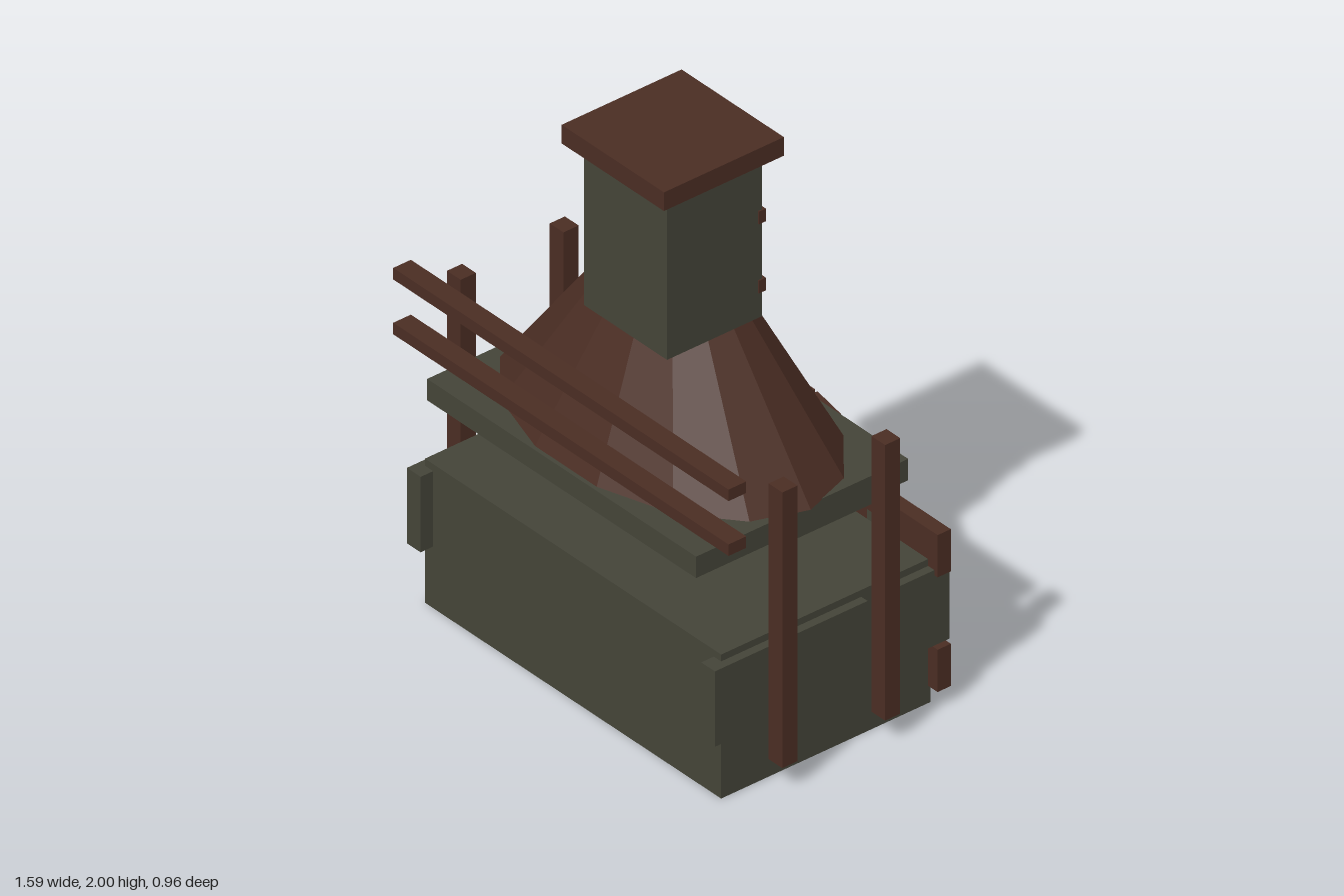
import * as THREE from 'three';

const stone = new THREE.MeshStandardMaterial({ color: 0x444438 });
stone.name = 'stone';
const brick = new THREE.MeshStandardMaterial({ color: 0x4a2d23, side: THREE.DoubleSide });
brick.name = 'brick';
const iron = new THREE.MeshStandardMaterial({ color: 0x23282b });
iron.name = 'iron';

// Box given by its min and max on each axis
function box(parent, name, mat, x0, x1, y0, y1, z0, z1) {
  const mesh = new THREE.Mesh(new THREE.BoxGeometry(x1 - x0, y1 - y0, z1 - z0), mat);
  mesh.position.set((x0 + x1) / 2, (y0 + y1) / 2, (z0 + z1) / 2);
  mesh.name = name;
  parent.add(mesh);
  return mesh;
}

export function createModel() {
  const model = new THREE.Group();
  model.name = 'forge';

  // Hearth body
  box(model, 'hearth', stone, -0.705, 0.7, 0, 0.525, -0.4, 0.43);

  for (const s of [-1, 1]) {
    const span = (a, b) => (s > 0 ? [a, b] : [-b, -a]);
    // Side slabs, the outer ones wrapping the corners
    for (const [z0, z1] of [[-0.45, -0.165], [-0.125, 0.16], [0.2, 0.48]])
      box(model, 'sideSlab', stone, ...span(0.665, 0.73), 0.225, 0.5, z0, z1);
    // Wooden posts
    for (const z of [-0.17, 0.237])
      box(model, 'post', brick, ...span(0.73, 0.795), 0.09, 1.095, z - 0.03, z + 0.03);
    // Arch pillars and the arms running inward above the hearth
    box(model, 'archPillar', stone, ...span(0.41, 0.462), 0.26, 0.56, -0.478, -0.39);
    box(model, 'hearthArm', stone, ...span(0.435, 0.462), 0.615, 0.66, -0.44, 0.02);
  }

  // Front rails
  for (const y of [0.975, 1.175])
    box(model, 'rail', brick, -0.795, 0.795, y - 0.021, y + 0.021, 0.41, 0.48);

  // Staggered brick courses on the back
  const courses = [
    [0.14, [-0.585, -0.285, 0.015, 0.315, 0.615]],
    [0.35, [-0.435, -0.135, 0.165, 0.465]],
    [0.558, [-0.585, -0.285, 0.015, 0.315, 0.615]],
  ];
  for (const [y, xs] of courses)
    for (const x of xs)
      box(model, 'wallBrick', brick, x - 0.13, x + 0.13, y - 0.077, y + 0.077, -0.442, -0.39);

  // Iron plate behind the arch
  box(model, 'firePlate', iron, -0.37, 0.365, 0.4, 0.7, -0.424, -0.397);

  // Arch of nine blocks
  const arch = new THREE.Group();
  arch.name = 'arch';
  model.add(arch);
  for (let i = -4; i <= 4; i++) {
    const a = i * 0.2286;
    const r = 0.515;
    const block = new THREE.Mesh(new THREE.BoxGeometry(0.114, 0.065, 0.06), brick);
    block.position.set(r * Math.sin(a), 0.232 + r * Math.cos(a), -0.449);
    block.rotation.z = -a;
    block.name = 'archBlock';
    arch.add(block);
  }

  // Hood plate and faceted open hood
  box(model, 'hoodPlate', stone, -0.64, 0.635, 0.79, 0.868, -0.365, 0.475);
  const cone = new THREE.CylinderGeometry(0.36, 1, 0.55, 14, 1, true, Math.PI / 2);
  cone.scale(0.658, 1, 0.432);
  const facets = cone.toNonIndexed();
  facets.computeVertexNormals();
  const hood = new THREE.Mesh(facets, brick);
  hood.position.set(0, 1.141, 0.04);
  hood.name = 'hood';
  model.add(hood);

  // Chimney, neck and cap
  box(model, 'chimney', stone, -0.095, 0.3, 1.345, 1.912, -0.065, 0.31);
  box(model, 'chimneyNeck', iron, -0.04, 0.25, 1.9, 1.94, -0.01, 0.26);
  box(model, 'chimneyCap', brick, -0.14, 0.345, 1.932, 2, -0.115, 0.36);

  // Straps with end bolts on the chimney back
  for (const y of [1.46, 1.712]) {
    box(model, 'strap', brick, -0.1, 0.305, y - 0.023, y + 0.023, -0.077, -0.05);
    for (const x of [-0.07, 0.275])
      box(model, 'strapBolt', brick, x - 0.012, x + 0.012, y - 0.012, y + 0.012, -0.088, -0.07);
  }
  return model;
}
